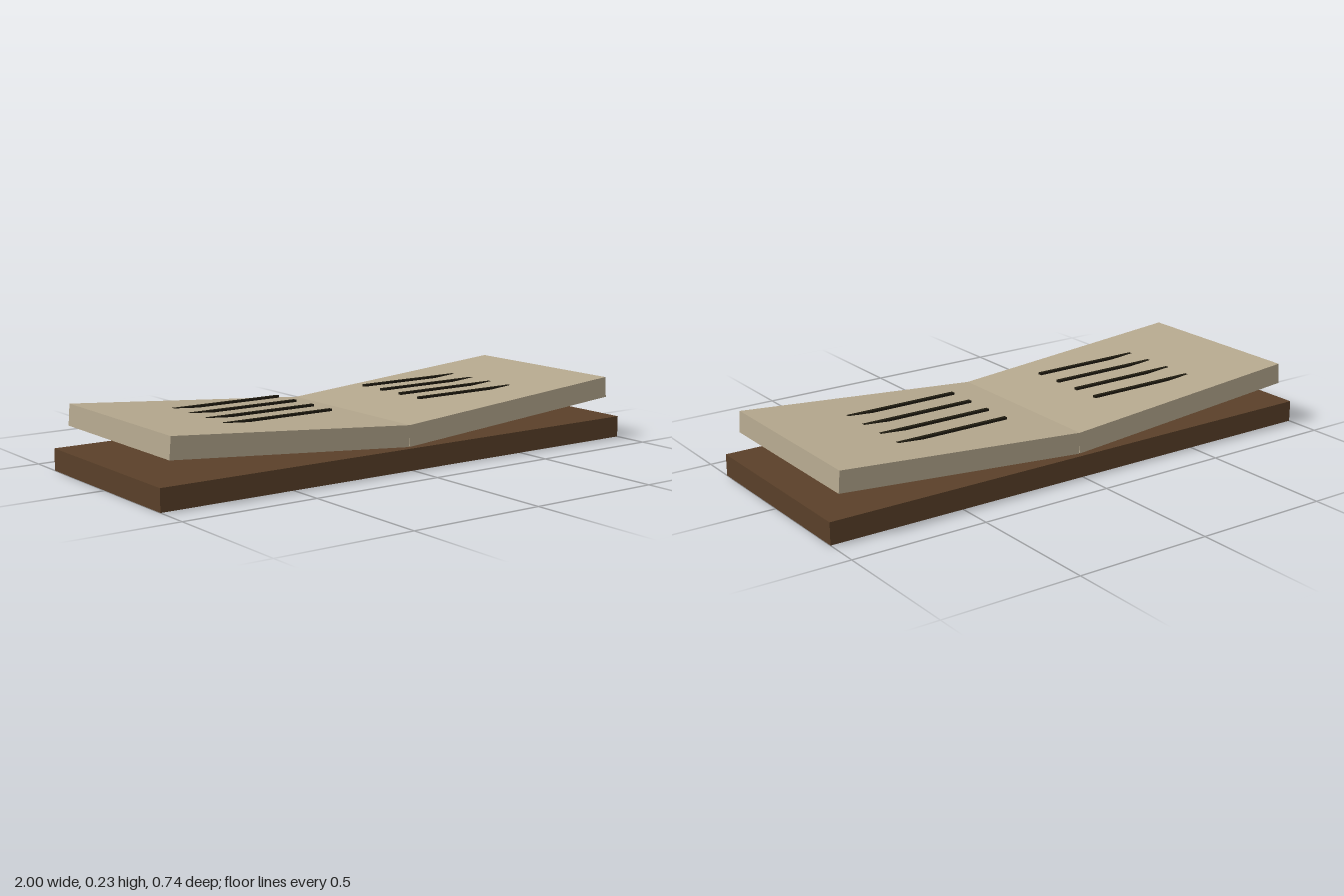
import * as THREE from 'three';

export function createModel() {
  const model = new THREE.Group();
  model.name = 'openBook';

  const material = (name, color) => {
    const m = new THREE.MeshStandardMaterial({ color });
    m.name = name;
    return m;
  };
  const wood = material('brown cover', 0x5a4029);
  const paper = material('aged paper', 0xb5a88e);
  const ink = material('dark ink', 0x1f1b10);

  const box = (name, size, position, mat) => {
    const mesh = new THREE.Mesh(new THREE.BoxGeometry(...size), mat);
    mesh.name = name;
    mesh.position.set(...position);
    model.add(mesh);
    return mesh;
  };

  // Flat cover board
  box('cover', [2, 0.079, 0.735], [0, 0.0395, 0], wood);

  for (const [side, s] of [['left', 1], ['right', -1]]) {
    // Page block, rising toward its outer edge
    const pages = box(side + 'Pages', [0.953, 0.077, 0.695], [s * 0.4745, 0.157, 0], paper);
    pages.rotation.z = s * 0.08;

    // Level text lines, sinking into the page at their outer ends
    for (let i = 0; i < 4; i++) {
      box(side + 'TextLine' + (i + 1), [0.56, 0.008, 0.015],
        [s * 0.475, 0.2045, -0.179 + i * 0.11], ink);
    }
  }
  return model;
}
